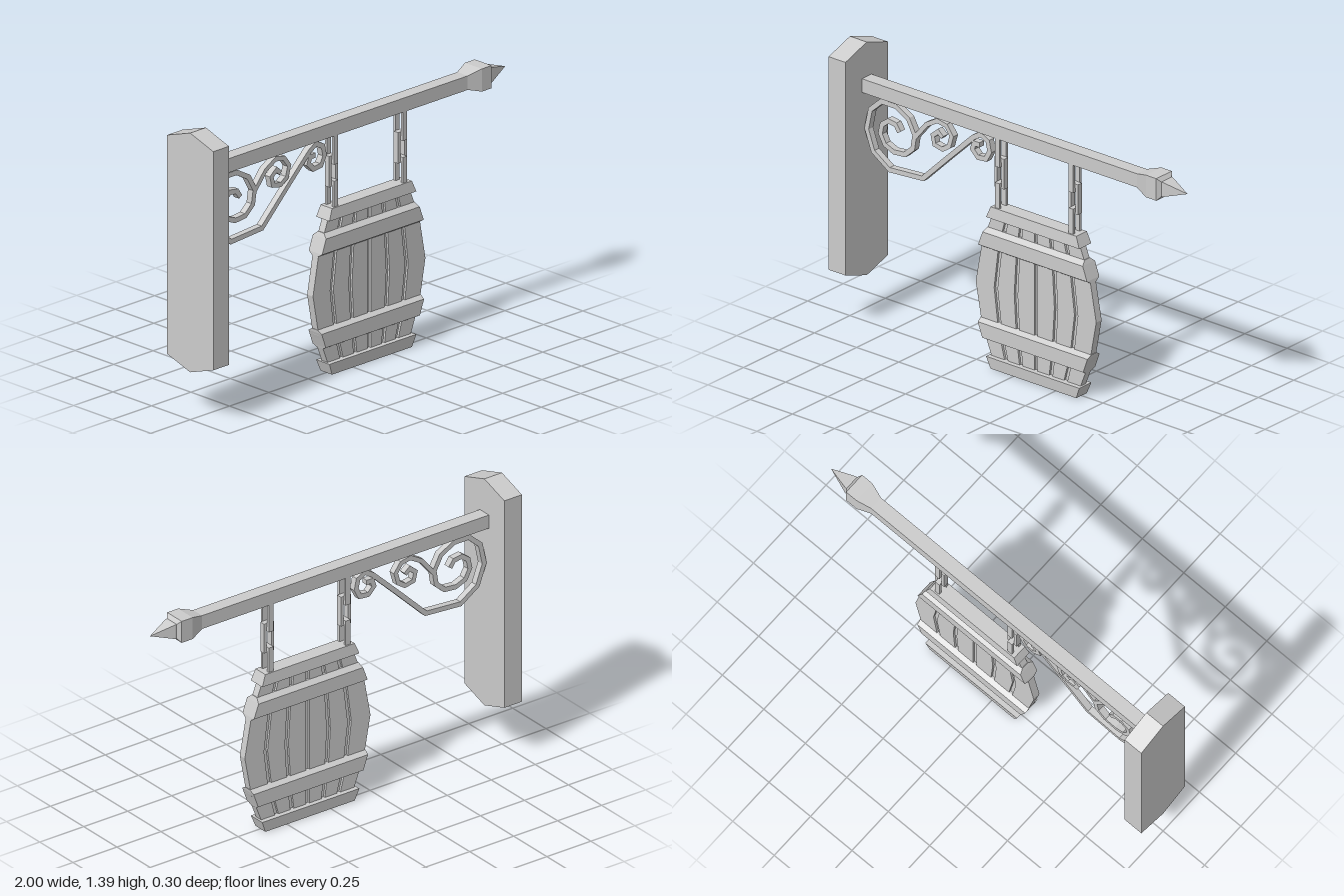
import * as THREE from 'three';

const material = new THREE.MeshStandardMaterial({ color: 0xcccccc, flatShading: true });

function add(parent, name, geometry) {
  const mesh = new THREE.Mesh(geometry, material);
  mesh.name = name;
  parent.add(mesh);
  return mesh;
}

// Closed solid from rectangular sections stacked upward: [y, xMin, xMax, halfDepth]
function loft(sections) {
  const pos = [], idx = [];
  for (const [y, a, b, d] of sections) pos.push(a, y, d, b, y, d, b, y, -d, a, y, -d);
  const last = (sections.length - 1) * 4;
  for (let s = 0; s < last; s += 4) {
    for (let k = 0; k < 4; k++) {
      const n = (k + 1) % 4;
      idx.push(s + k, s + n, s + 4 + n, s + k, s + 4 + n, s + 4 + k);
    }
  }
  idx.push(0, 2, 1, 0, 3, 2, last, last + 1, last + 2, last, last + 2, last + 3);
  const g = new THREE.BufferGeometry();
  g.setAttribute('position', new THREE.Float32BufferAttribute(pos, 3));
  g.setIndex(idx);
  const flat = g.toNonIndexed();
  flat.computeVertexNormals();
  return flat;
}

// Extrusion centred on z = 0
function plate(shape, depth) {
  const g = new THREE.ExtrudeGeometry(shape, { depth, bevelEnabled: false });
  return g.translate(0, 0, -depth / 2);
}

// Flat bar of constant width following a polyline, with mitred corners
function strip(points, width, depth) {
  const p = points.map(([x, y]) => new THREE.Vector2(x, y));
  const left = [], right = [];
  p.forEach((c, i) => {
    const d1 = c.clone().sub(p[Math.max(i - 1, 0)]).normalize();
    const d2 = p[Math.min(i + 1, p.length - 1)].clone().sub(c).normalize();
    const t = d1.clone().add(d2).normalize();
    const along = i ? d1 : d2;
    const n = new THREE.Vector2(-t.y, t.x).multiplyScalar(width / 2 / t.dot(along));
    left.push(c.clone().add(n));
    right.unshift(c.clone().sub(n));
  });
  return plate(new THREE.Shape([...left, ...right]), depth);
}

// Rectangular chain link
function linkGeometry(w, y0, y1, bar, depth) {
  const rect = (x, a, b) => [[-x, a], [x, a], [x, b], [-x, b]].map(([u, v]) => new THREE.Vector2(u, v));
  const shape = new THREE.Shape(rect(w, y0, y1));
  shape.holes.push(new THREE.Path(rect(w - bar, y0 + bar * 1.6, y1 - bar * 1.6)));
  return plate(shape, depth);
}

export function createModel() {
  const root = new THREE.Group();
  root.name = 'hangingBarrelSign';

  // Wall post with pointed ends
  const outline = [[0, 0.23], [0.15, 0.28], [0.15, 1.34], [0, 1.39], [-0.15, 1.34], [-0.15, 0.28]];
  const post = add(root, 'wallPost', plate(new THREE.Shape(outline.map(([x, y]) => new THREE.Vector2(x, y))), 0.1));
  post.rotation.y = Math.PI / 2;
  post.position.x = -0.95;

  // Beam, flared collar and spear tip
  const sq = (y, h) => [y, -h, h, h];
  const beam = new THREE.Group();
  beam.name = 'beam';
  beam.rotation.z = -Math.PI / 2;
  beam.position.y = 1.185;
  root.add(beam);
  add(beam, 'beamBar', loft([sq(-0.92, 0.034), sq(0.73, 0.034), sq(0.8, 0.055), sq(0.862, 0.055), sq(0.882, 0.03)]));
  add(beam, 'spearTip', loft([sq(0.87, 0.037), sq(0.885, 0.036), sq(1.0, 0.0005)]));

  // Scrollwork bracket
  const bracket = new THREE.Group();
  bracket.name = 'scrollBracket';
  root.add(bracket);
  add(bracket, 'mainScroll', strip([
    [-0.695, 1.005], [-0.717, 1.037], [-0.76, 1.043], [-0.797, 1.016], [-0.807, 0.968], [-0.781, 0.92],
    [-0.727, 0.898], [-0.663, 0.904], [-0.615, 0.947], [-0.604, 1.016], [-0.642, 1.086], [-0.717, 1.128],
    [-0.802, 1.128], [-0.866, 1.07], [-0.888, 0.968], [-0.85, 0.866], [-0.754, 0.802], [-0.556, 0.816],
    [-0.396, 0.973], [-0.257, 1.107], [-0.214, 1.134], [-0.171, 1.112], [-0.16, 1.064], [-0.182, 1.021],
    [-0.23, 1.016], [-0.262, 1.048], [-0.251, 1.08], [-0.219, 1.08]], 0.024, 0.032));
  add(bracket, 'middleScroll', strip([
    [-0.605, 1.005], [-0.535, 1.09], [-0.47, 1.128], [-0.417, 1.118], [-0.385, 1.075], [-0.4, 1.021],
    [-0.439, 0.995], [-0.487, 1.005], [-0.497, 1.048], [-0.465, 1.075], [-0.439, 1.053]], 0.022, 0.032));

  // Two chains of three links, the middle one turned a quarter
  for (const x of [-0.102, 0.335]) {
    const chain = new THREE.Group();
    chain.name = 'chain';
    chain.position.x = x;
    root.add(chain);
    add(chain, 'upperLink', linkGeometry(0.03, 1.01, 1.17, 0.013, 0.026)).rotation.y = Math.PI / 2;
    add(chain, 'middleLink', linkGeometry(0.028, 0.9, 1.05, 0.015, 0.028));
    add(chain, 'lowerLink', linkGeometry(0.03, 0.77, 0.93, 0.013, 0.026)).rotation.y = Math.PI / 2;
  }

  // Barrel-shaped sign
  const sign = new THREE.Group();
  sign.name = 'barrelSign';
  sign.position.x = 0.119;
  root.add(sign);
  const levels = [[0.02, 0.25], [0.2, 0.32], [0.4, 0.357], [0.6, 0.32], [0.78, 0.25]];
  add(sign, 'backingPanel', loft(levels.map(([y, w]) => [y, -w + 0.02, w - 0.02, 0.008])));

  // Six staves separated by grooves
  const gap = 0.01;
  for (let i = 0; i < 6; i++) {
    add(sign, 'stave', loft(levels.map(([y, w]) => [
      y,
      w * (i / 3 - 1) + (i > 0 ? gap : 0),
      w * ((i + 1) / 3 - 1) - (i < 5 ? gap : 0),
      0.019])));
  }

  // Bands with chamfered edges, and end caps
  const sym = ([y, w, d]) => [y, -w, w, d];
  add(sign, 'upperBand', loft([[0.585, 0.326, 0.019], [0.6, 0.323, 0.043], [0.67, 0.297, 0.043], [0.69, 0.288, 0.019]].map(sym)));
  add(sign, 'lowerBand', loft([[0.13, 0.295, 0.019], [0.143, 0.299, 0.043], [0.215, 0.325, 0.043], [0.23, 0.328, 0.019]].map(sym)));
  add(sign, 'topCap', loft([[0.75, 0.276, 0.043], [0.805, 0.254, 0.037]].map(sym)));
  add(sign, 'bottomCap', loft([[0, 0.254, 0.037], [0.057, 0.276, 0.043]].map(sym)));

  return root;
}
